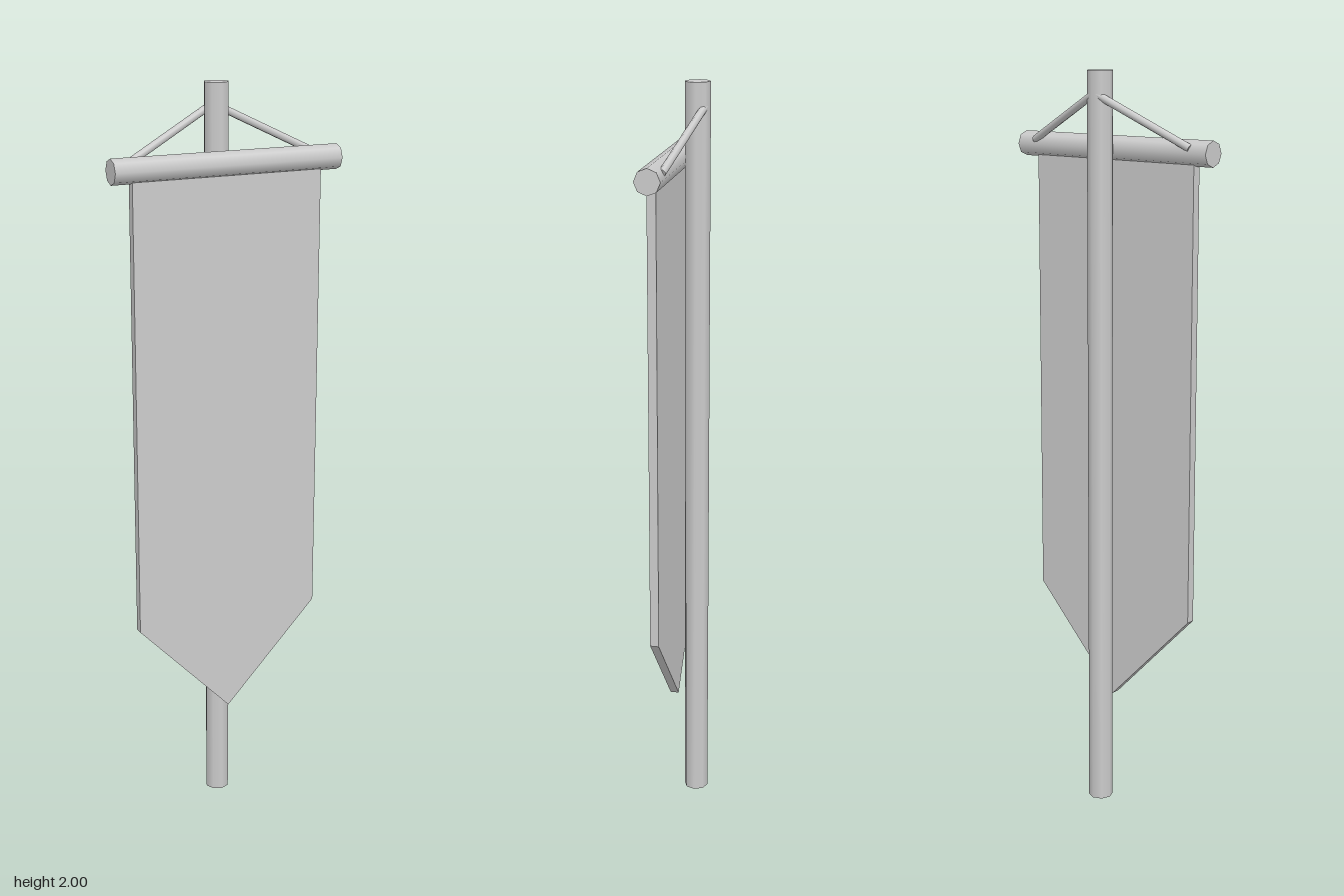
import * as THREE from 'three';

export function createModel() {
  const group = new THREE.Group();
  const material = new THREE.MeshStandardMaterial({ color: 0xcccccc });

  const add = (name, geometry, x = 0, y = 0, z = 0) => {
    const mesh = new THREE.Mesh(geometry, material);
    mesh.name = name;
    mesh.position.set(x, y, z);
    group.add(mesh);
    return mesh;
  };

  // Round rod between two points
  const rod = (name, from, to, radius, sides) => {
    const dir = to.clone().sub(from);
    const mid = from.clone().add(to).multiplyScalar(0.5);
    const mesh = add(name, new THREE.CylinderGeometry(radius, radius, dir.length(), sides), mid.x, mid.y, mid.z);
    mesh.quaternion.setFromUnitVectors(new THREE.Vector3(0, 1, 0), dir.normalize());
  };
  const v = (x, y, z) => new THREE.Vector3(x, y, z);

  // Upright pole and the crossbar in front of it
  rod('pole', v(0, 0, -0.032), v(0, 2, -0.032), 0.033, 8);
  rod('crossbar', v(-0.315, 1.802, 0.03), v(0.315, 1.802, 0.03), 0.033, 8);

  // Ropes from the pole down to the crossbar
  for (const [name, side] of [['leftRope', 1], ['rightRope', -1]]) {
    rod(name, v(0, 1.943, -0.053), v(side * 0.26, 1.815, 0.005), 0.01, 8);
  }

  // Hanging cloth with a pointed lower end
  const depth = 0.023;
  const outline = new THREE.Shape([
    new THREE.Vector2(-0.263, 1.8),
    new THREE.Vector2(-0.263, 0.565),
    new THREE.Vector2(0, 0.29),
    new THREE.Vector2(0.263, 0.565),
    new THREE.Vector2(0.263, 1.8),
  ]);
  add('banner', new THREE.ExtrudeGeometry(outline, { depth, bevelEnabled: false }), 0, 0, 0.031 - depth / 2);

  return group;
}
